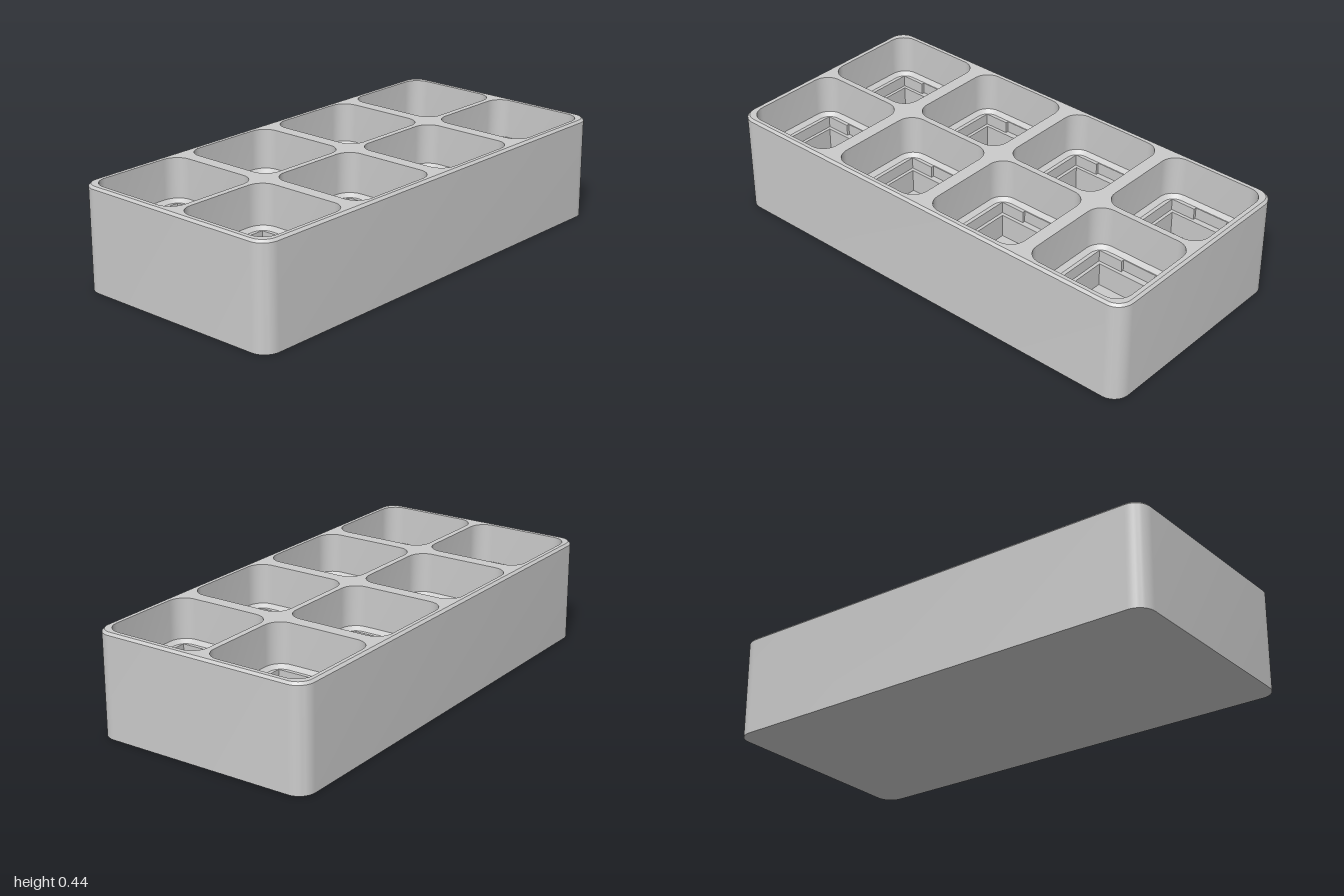
import * as THREE from 'three';
import { toCreasedNormals, mergeVertices } from 'three/addons/utils/BufferGeometryUtils.js';

const material = new THREE.MeshStandardMaterial({ color: 0xcccccc });

// Counter-clockwise outlines in plan; plan y points to the back (-z).
function roundedRect(hx, hy, r, steps = 8) {
  const pts = [];
  [[1, 1], [-1, 1], [-1, -1], [1, -1]].forEach(([sx, sy], q) => {
    for (let i = 0; i <= steps; i++) {
      const a = (q + i / steps) * Math.PI / 2;
      pts.push(new THREE.Vector2(sx * (hx - r) + r * Math.cos(a), sy * (hy - r) + r * Math.sin(a)));
    }
  });
  return pts;
}

function circle(x, y, r, n = 28) {
  return Array.from({ length: n }, (_, i) => {
    const a = i / n * Math.PI * 2;
    return new THREE.Vector2(x + r * Math.cos(a), y + r * Math.sin(a));
  });
}

function square(h) {
  return [[h, h], [-h, h], [-h, -h], [h, -h]].map(p => new THREE.Vector2(...p));
}

// Square with a shallow tab on its front and back sides.
function notchedSquare(h, tabHalf, tabReach) {
  return [
    [h, -h], [h, h], [tabHalf, h], [tabHalf, tabReach], [-tabHalf, tabReach], [-tabHalf, h],
    [-h, h], [-h, -h], [-tabHalf, -h], [-tabHalf, -tabReach], [tabHalf, -tabReach], [tabHalf, -h],
  ].map(p => new THREE.Vector2(...p));
}

// Wall through a list of [outline, height]; rising faces out, falling faces in.
function wall(name, levels) {
  const pos = [], index = [], n = levels[0][0].length;
  for (const [loop, y] of levels) for (const p of loop) pos.push(p.x, y, -p.y);
  for (let k = 0; k < levels.length - 1; k++) {
    for (let i = 0; i < n; i++) {
      const a = k * n + i, b = k * n + (i + 1) % n;
      index.push(a, b, b + n, a, b + n, a + n);
    }
  }
  const geo = new THREE.BufferGeometry();
  geo.setAttribute('position', new THREE.Float32BufferAttribute(pos, 3));
  geo.setIndex(index);
  return part(name, toCreasedNormals(mergeVertices(geo), 0.6));
}

// Flat horizontal face with openings, looking up (or down).
function plate(name, outline, holes, y, up = true) {
  const shape = new THREE.Shape(outline);
  shape.holes = holes.map(h => new THREE.Path(h));
  const geo = new THREE.ShapeGeometry(shape);
  geo.rotateX(up ? -Math.PI / 2 : Math.PI / 2);
  geo.translate(0, y, 0);
  return part(name, geo);
}

function part(name, geometry) {
  const mesh = new THREE.Mesh(geometry, material);
  mesh.name = name;
  return mesh;
}

const TOP = 0.435, LEDGE = 0.25, SEAT = 0.2, FLOOR = 0.1, HOLE_BOTTOM = 0.03;

// One well: rounded pocket, notched seat, square cavity and blind holes.
function createWell() {
  const well = new THREE.Group();
  const mouth = roundedRect(0.222, 0.222, 0.07);
  const foot = roundedRect(0.203, 0.203, 0.05);
  const seat = notchedSquare(0.187, 0.078, 0.199);
  const cavity = square(0.173);
  const holes = [[0, 0, 0.063], [-0.123, 0, 0.032], [0.123, 0, 0.032], [-0.092, 0.061, 0.032], [0.061, 0.123, 0.032]];

  well.add(
    wall('pocketWall', [[mouth, TOP], [mouth, LEDGE + 0.015], [foot, LEDGE]]),
    plate('pocketLedge', foot, [seat], LEDGE),
    wall('seatWall', [[seat, LEDGE], [seat, SEAT]]),
    plate('seatLedge', seat, [cavity], SEAT),
    wall('cavityWall', [[cavity, SEAT], [cavity, FLOOR]]),
    plate('cavityFloor', cavity, holes.map(h => circle(...h)), FLOOR),
  );
  for (const [x, y, r] of holes) {
    const rim = circle(x, y, r), bore = circle(x, y, r - 0.007);
    well.add(
      wall('holeWall', [[rim, FLOOR], [bore, FLOOR - 0.007], [bore, HOLE_BOTTOM]]),
      plate('holeBottom', bore, [], HOLE_BOTTOM),
    );
  }
  return well;
}

export function createModel() {
  const model = new THREE.Group();
  model.name = 'tray';

  // Outer shell with a small bevel round the top edge
  const outer = roundedRect(1, 0.483, 0.07, 10);
  const rim = roundedRect(0.99, 0.473, 0.06, 10);
  model.add(
    wall('outerWall', [[outer, 0], [outer, TOP - 0.01], [rim, TOP]]),
    plate('base', outer, [], 0, false),
  );

  // Two rows of four wells
  const openings = [];
  for (const z of [-0.235, 0.235]) {
    for (const x of [-0.75, -0.25, 0.25, 0.75]) {
      const well = createWell();
      well.name = 'well';
      well.position.set(x, 0, z);
      model.add(well);
      openings.push(roundedRect(0.222, 0.222, 0.07).map(p => p.add(new THREE.Vector2(x, -z))));
    }
  }
  model.add(plate('topFace', rim, openings, TOP));
  return model;
}
